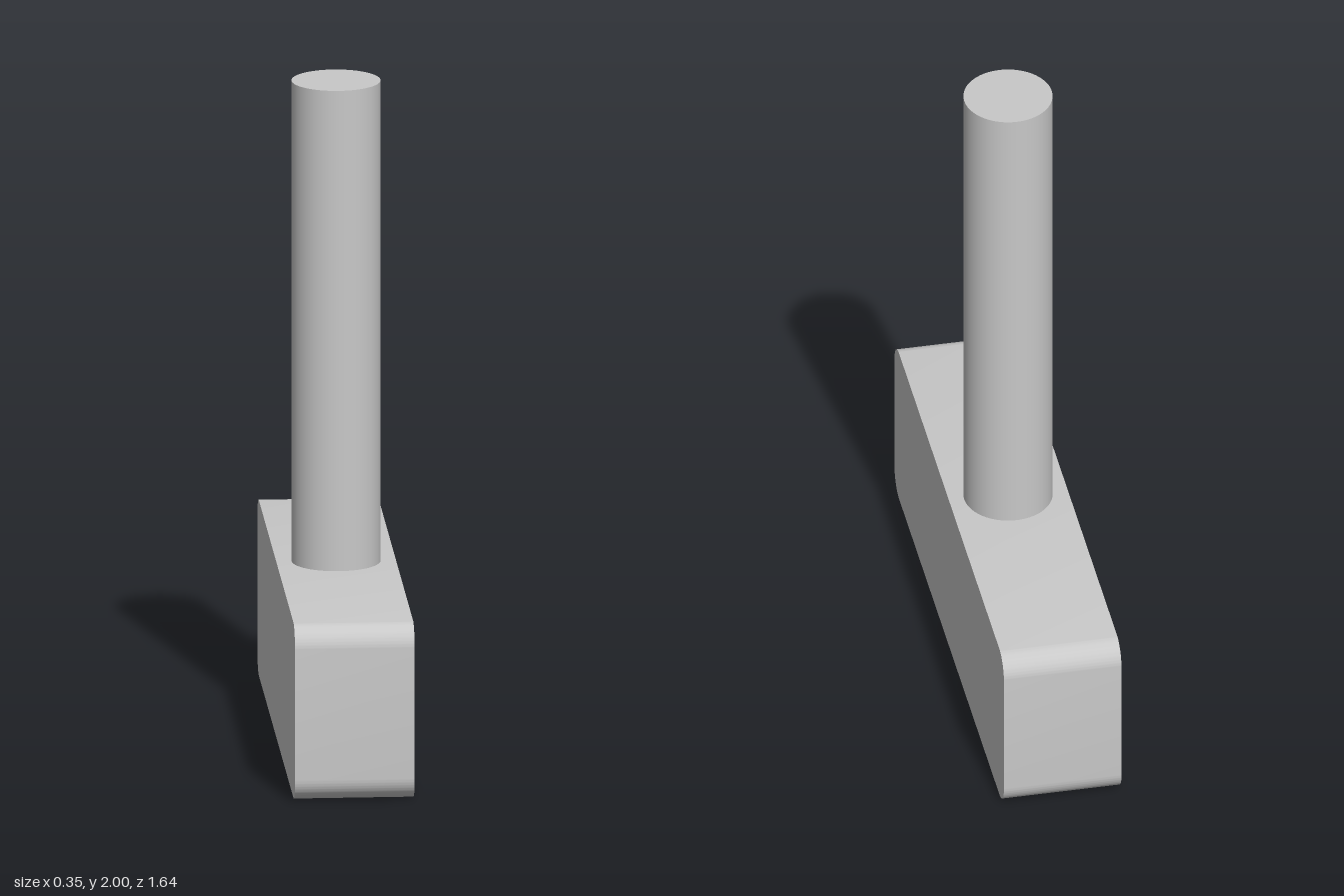
import * as THREE from 'three';
import { toCreasedNormals } from 'three/addons/utils/BufferGeometryUtils.js';

const HEAD = { width: 0.355, height: 0.535, length: 1.64, radius: 0.07 };
const HANDLE = { radius: 0.132, top: 2 };

// Rounded rectangle, centred on x and standing on y = 0
function roundedRect(length, height, r) {
  const h = length / 2;
  const s = new THREE.Shape();
  s.moveTo(-h + r, 0);
  s.absarc(h - r, r, r, -Math.PI / 2, 0);
  s.absarc(h - r, height - r, r, 0, Math.PI / 2);
  s.absarc(-h + r, height - r, r, Math.PI / 2, Math.PI);
  s.absarc(-h + r, r, r, Math.PI, Math.PI * 1.5);
  s.closePath();
  return s;
}

export function createModel() {
  const group = new THREE.Group();
  group.name = 'mallet';

  const grey = new THREE.MeshStandardMaterial({ color: 0xc8c8c8 });
  grey.name = 'light grey';

  // Head: side profile with rounded corners, extruded across the width
  const headGeometry = new THREE.ExtrudeGeometry(
    roundedRect(HEAD.length, HEAD.height, HEAD.radius),
    { depth: HEAD.width, bevelEnabled: false, curveSegments: 12 }
  );
  headGeometry.translate(0, 0, -HEAD.width / 2);
  headGeometry.rotateY(Math.PI / 2);
  const head = new THREE.Mesh(toCreasedNormals(headGeometry, 0.5), grey);
  head.name = 'head';

  // Handle: plain round shaft rising from the middle of the head
  const handleLength = HANDLE.top - HEAD.height;
  const handle = new THREE.Mesh(
    new THREE.CylinderGeometry(HANDLE.radius, HANDLE.radius, handleLength, 64),
    grey
  );
  handle.position.y = HEAD.height + handleLength / 2;
  handle.name = 'handle';

  group.add(head, handle);
  return group;
}
